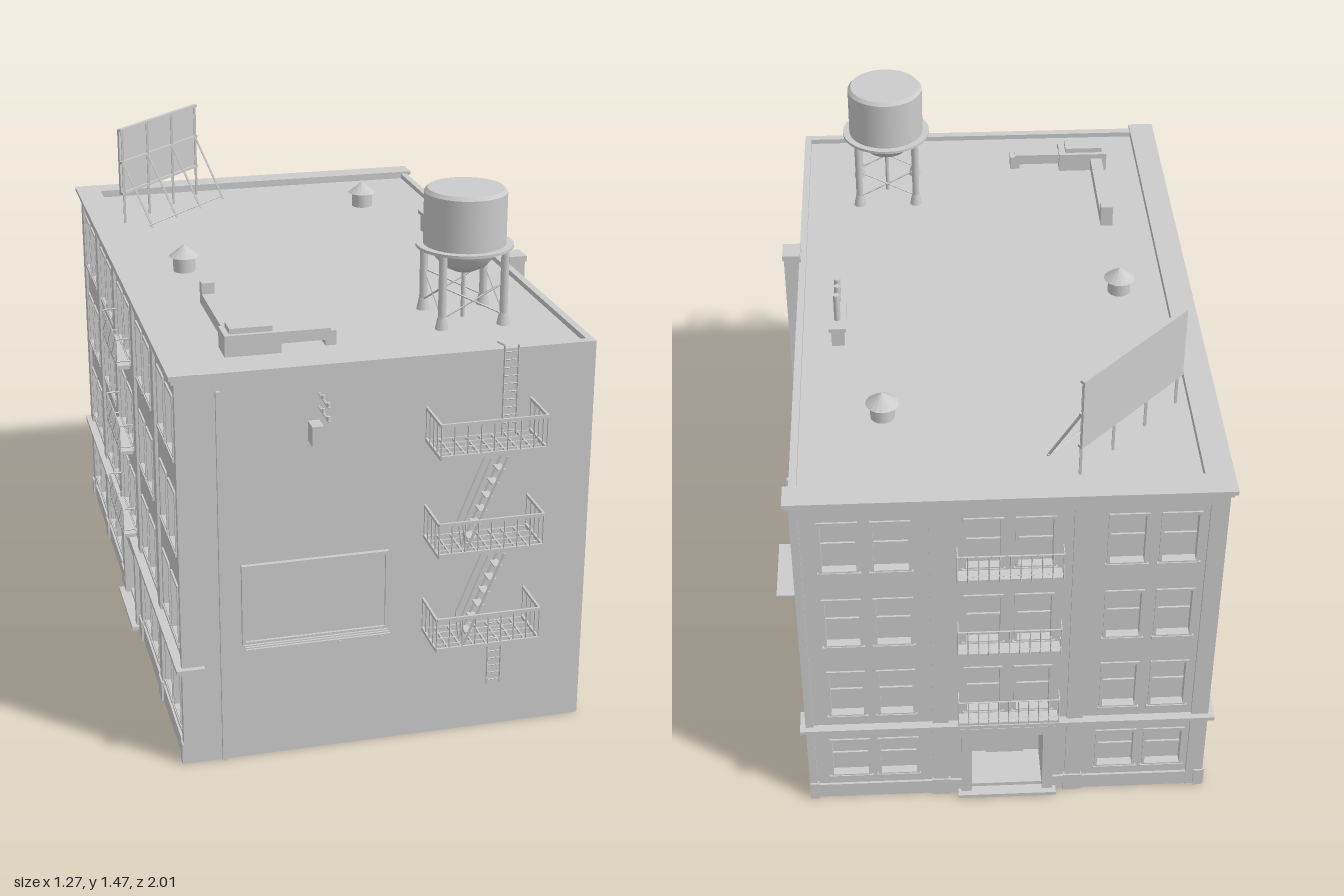
import * as THREE from 'three';

const grey = new THREE.MeshStandardMaterial({ color: 0xcccccc, side: THREE.DoubleSide });
const flat = new THREE.MeshStandardMaterial({ color: 0xcccccc, side: THREE.DoubleSide, flatShading: true });

function add(parent, name, geo, mat = grey) {
  const m = new THREE.Mesh(geo, mat);
  m.name = name;
  parent.add(m);
  return m;
}
function group(parent, name) {
  const g = new THREE.Group();
  g.name = name;
  parent.add(g);
  return g;
}
// Box given by its lower and upper limits on each axis
function box(parent, name, x0, x1, y0, y1, z0, z1) {
  const m = add(parent, name, new THREE.BoxGeometry(x1 - x0, y1 - y0, z1 - z0));
  m.position.set((x0 + x1) / 2, (y0 + y1) / 2, (z0 + z1) / 2);
  return m;
}
// Round or square bar between two points
function bar(parent, name, a, b, r, sides = 6, r2 = r) {
  const p = new THREE.Vector3(...a), q = new THREE.Vector3(...b), d = q.clone().sub(p);
  const m = add(parent, name, new THREE.CylinderGeometry(r2, r, d.length(), sides), sides < 8 ? flat : grey);
  m.position.copy(p).add(q).multiplyScalar(0.5);
  m.quaternion.setFromUnitVectors(new THREE.Vector3(0, 1, 0), d.normalize());
  return m;
}
function lathe(parent, name, pts, x, y, z, mat = grey) {
  const m = add(parent, name, new THREE.LatheGeometry(pts.map(p => new THREE.Vector2(...p)), 32), mat);
  m.position.set(x, y, z);
}
function rect(ShapeType, x0, x1, y0, y1) {
  const s = new ShapeType();
  s.moveTo(x0, y0); s.lineTo(x1, y0); s.lineTo(x1, y1); s.lineTo(x0, y1); s.closePath();
  return s;
}

// Framed, glazed window set in a wall whose face is z = 0
function windowUnit(parent, x0, x1, y0, y1) {
  const g = group(parent, 'window');
  const f = rect(THREE.Shape, x0 - 0.008, x1 + 0.008, y0 - 0.008, y1 + 0.008);
  f.holes.push(rect(THREE.Path, x0, x1, y0, y1));
  add(g, 'windowFrame', new THREE.ExtrudeGeometry(f, { depth: 0.005, bevelEnabled: false }));
  box(g, 'glass', x0, x1, y0, y1, -0.026, -0.02);
  box(g, 'windowRail', x0, x1, (y0 + y1) / 2 - 0.003, (y0 + y1) / 2 + 0.003, -0.02, -0.014);
  box(g, 'sill', x0 - 0.012, x1 + 0.012, y0 - 0.014, y0 - 0.004, 0, 0.008);
}

function balcony(parent, y) {
  const g = group(parent, 'balcony'), w = 0.138, d = 0.038;
  box(g, 'balconyFloor', -w, w, y, y + 0.008, 0, d);
  box(g, 'balconyFloorUnderside', -w + 0.01, w - 0.01, y - 0.008, y, 0, d - 0.01);
  for (const h of [0.022, 0.09]) {
    bar(g, 'balconyRail', [-w, y + h, d], [w, y + h, d], 0.0025, 4);
    for (const s of [-w, w]) bar(g, 'balconyRail', [s, y + h, 0], [s, y + h, d], 0.0025, 4);
  }
  for (let i = 0; i <= 10; i++) {
    const x = -w + i * w / 5;
    bar(g, 'baluster', [x, y, d], [x, y + 0.09, d], 0.0018, 4);
  }
}

// Decorated street wall: face near z = 0, centred on x = 0
function facade(parent, width, bays) {
  const g = group(parent, 'facade'), W = width / 2, pitch = width / bays, dw = 0.1;
  const wall = rect(THREE.Shape, -W, W, 0, 1.1), wins = [];
  for (let b = 0; b < bays; b++) {
    const c = (b - (bays - 1) / 2) * pitch, mid = b === (bays - 1) / 2;
    for (const s of [-0.068, 0.068]) {
      for (const y of [0.335, 0.605, 0.875]) wins.push([c + s - 0.045, c + s + 0.045, y, y + 0.16]);
      if (!mid) wins.push([c + s - 0.05, c + s + 0.05, 0.09, 0.225]);
    }
  }
  const face = group(g, 'facadeFace');
  face.position.z = -0.008;
  for (const w of wins) {
    wall.holes.push(rect(THREE.Path, ...w));
    windowUnit(face, ...w);
  }
  wall.holes.push(rect(THREE.Path, -dw, dw, 0.012, 0.235));
  const m = add(face, 'facadeWall', new THREE.ExtrudeGeometry(wall, { depth: 0.04, bevelEnabled: false }));
  m.position.z = -0.04;
  // Pilasters between the bays
  for (let b = 0; b <= bays; b++) {
    const c = -W + b * pitch;
    box(g, 'pilaster', Math.max(-W, c - 0.022), Math.min(W, c + 0.022), 0, 1.1, -0.012, 0);
    box(g, 'pilasterBase', Math.max(-W, c - 0.026), Math.min(W, c + 0.026), 0, 0.06, -0.012, 0.005);
  }
  box(g, 'frieze', -W, W, 1.065, 1.1, -0.012, -0.001);
  for (const s of [-1, 1]) {
    box(g, 'plinth', Math.min(s * 0.13, s * W), Math.max(s * 0.13, s * W), 0, 0.05, -0.012, -0.001);
    box(g, 'doorPier', s * 0.115 - 0.015, s * 0.115 + 0.015, 0, 0.25, -0.012, 0.008);
    box(g, 'porchSide', s * 0.102 - 0.002, s * 0.102 + 0.002, 0, 0.235, -0.13, -0.01);
  }
  // Recessed entrance
  box(g, 'porchCeiling', -dw, dw, 0.235, 0.239, -0.13, -0.01);
  box(g, 'porchBack', -dw, dw, 0, 0.235, -0.134, -0.13);
  box(g, 'porchFloor', -dw, dw, 0.012, 0.024, -0.13, -0.008);
  box(g, 'door', -0.055, 0.055, 0.024, 0.2, -0.13, -0.124);
  box(g, 'entranceStep', -0.14, 0.14, 0, 0.012, -0.02, 0.024);
  box(g, 'doorLintel', -0.135, 0.135, 0.24, 0.272, -0.012, 0.01);
  // String course and cornice
  box(g, 'stringCourse', -W - 0.015, W + 0.015, 0.28, 0.292, -0.06, 0.016);
  box(g, 'stringCourseLower', -W - 0.008, W + 0.008, 0.272, 0.28, -0.06, 0.008);
  box(g, 'corniceLower', -W - 0.008, W + 0.008, 1.098, 1.112, -0.06, 0.008);
  box(g, 'cornice', -W - 0.015, W + 0.015, 1.112, 1.124, -0.06, 0.016);
  for (const y of [0.32, 0.59, 0.86]) balcony(g, y);
  return g;
}

function ladder(parent, x, z, y0, y1) {
  const g = group(parent, 'ladder');
  for (const s of [-0.019, 0.019]) bar(g, 'ladderRail', [x + s, y0, z], [x + s, y1, z], 0.0025, 4);
  for (let y = y0 + 0.012; y < y1; y += 0.022) bar(g, 'rung', [x - 0.019, y, z], [x + 0.019, y, z], 0.0018, 4);
}

function fireEscape(parent) {
  const g = group(parent, 'fireEscape'), x0 = 0.062, x1 = 0.348, z0 = 0.868, z1 = 0.997;
  for (const y of [0.322, 0.599, 0.877]) {
    const p = group(g, 'landing');
    for (let i = 0; i <= 8; i++) {
      const x = x0 + (x1 - x0) * i / 8;
      box(p, 'floorSlat', x - 0.002, x + 0.002, y, y + 0.006, z0, z1);
      bar(p, 'baluster', [x, y, z1], [x, y + 0.098, z1], 0.002, 4);
    }
    for (let i = 0; i <= 4; i++) {
      const z = z0 + (z1 - z0) * i / 4;
      box(p, 'floorBar', x0, x1, y, y + 0.006, z - 0.002, z + 0.002);
      for (const x of [x0, x1]) bar(p, 'baluster', [x, y, z], [x, y + 0.098, z], 0.002, 4);
    }
    for (const h of [0.008, 0.096]) {
      box(p, 'landingRail', x0, x1, y + h - 0.005, y + h + 0.004, z1 - 0.003, z1 + 0.003);
      for (const x of [x0, x1]) box(p, 'landingRail', x - 0.003, x + 0.003, y + h - 0.005, y + h + 0.004, z0, z1);
    }
  }
  // Flights between the landings
  for (const y of [0.328, 0.605]) {
    const s = group(g, 'stair'), a = 0.14, b = 0.247, h = 0.26;
    for (const z of [0.945, 0.985]) {
      bar(s, 'stringer', [a, y, z], [b, y + h, z], 0.004, 4);
      bar(s, 'handrail', [a - 0.01, y + 0.08, z], [b - 0.045, y + h, z], 0.0025, 4);
      bar(s, 'handrailPost', [a, y, z], [a - 0.01, y + 0.08, z], 0.002, 4);
    }
    for (let i = 1; i < 7; i++) {
      const x = a + (b - a) * i / 7, t = y + h * i / 7;
      box(s, 'tread', x - 0.011, x + 0.011, t - 0.002, t + 0.002, 0.945, 0.985);
    }
  }
  ladder(g, 0.267, 0.877, 0.137, 0.345);
  ladder(g, 0.286, 0.877, 0.88, 1.13);
  bar(g, 'ladderHook', [0.267, 1.13, 0.877], [0.267, 1.12, 0.82], 0.0025, 4);
}

function waterTower(parent) {
  const g = group(parent, 'waterTower'), l = 0.087;
  g.position.set(0.258, 1.1, 0.55);
  add(g, 'tank', new THREE.CylinderGeometry(0.113, 0.113, 0.145, 32)).position.y = 0.285;
  add(g, 'tankLid', new THREE.CylinderGeometry(0.104, 0.113, 0.01, 32)).position.y = 0.3625;
  add(g, 'walkway', new THREE.CylinderGeometry(0.133, 0.133, 0.008, 32)).position.y = 0.21;
  lathe(g, 'tankBowl', [[0, 0.132], [0.03, 0.137], [0.06, 0.152], [0.082, 0.178], [0.094, 0.207]], 0, 0, 0);
  bar(g, 'centrePipe', [0, 0, 0], [0, 0.135, 0], 0.006, 10);
  const c = [[-l, -l], [l, -l], [l, l], [-l, l]];
  c.forEach(([x, z], i) => {
    const [u, w] = c[(i + 1) % 4];
    bar(g, 'leg', [x, 0, z], [x, 0.207, z], 0.011, 10);
    bar(g, 'legFoot', [x, 0, z], [x, 0.035, z], 0.019, 10, 0.012);
    bar(g, 'brace', [x, 0.03, z], [u, 0.12, w], 0.0025, 4);
    bar(g, 'brace', [x, 0.12, z], [u, 0.03, w], 0.0025, 4);
  });
}

// Hoarding turned to the corner; local +z is its supported rear
function hoarding(parent) {
  const g = group(parent, 'hoarding');
  g.position.set(-0.368, 1.1, -0.727);
  g.rotation.y = Math.PI / 4;
  box(g, 'hoardingPanel', -0.21, 0.21, 0.095, 0.308, -0.006, 0);
  for (const y of [0.1, 0.2, 0.304]) box(g, 'hoardingRail', -0.21, 0.21, y - 0.004, y + 0.004, 0, 0.008);
  for (const x of [-0.2, -0.067, 0.067, 0.2]) {
    bar(g, 'hoardingPost', [x, 0, 0.005], [x, 0.306, 0.005], 0.005, 4);
    bar(g, 'hoardingBrace', [x, 0, 0.115], [x, 0.2, 0.005], 0.004, 4);
  }
  bar(g, 'braceTie', [-0.21, 0.012, 0.107], [0.21, 0.012, 0.107], 0.002, 4);
}

function roofPlant(parent) {
  for (const [x, z] of [[0.283, -0.603], [-0.41, -0.045]]) {
    const g = group(parent, 'roofVent');
    add(g, 'ventStack', new THREE.CylinderGeometry(0.033, 0.033, 0.05, 16)).position.set(x, 1.125, z);
    add(g, 'ventCap', new THREE.ConeGeometry(0.045, 0.035, 16), flat).position.set(x, 1.1645, z);
  }
  const s = group(parent, 'chimneyStack');
  box(s, 'chimneyBlock', 0.387, 0.423, 1.1, 1.155, -0.28, -0.1);
  box(s, 'chimneyCap', 0.381, 0.429, 1.155, 1.167, -0.291, -0.093);
  for (const [z, y] of [[-0.12, 1.22], [-0.155, 1.22], [-0.243, 1.25]])
    bar(s, 'chimneyPipe', [0.405, 1.16, z], [0.405, y, z], 0.009, 12);
  const d = group(parent, 'airHandler');
  box(d, 'handlerBox', -0.44, -0.29, 1.1, 1.16, 0.632, 0.717);
  box(d, 'handlerLid', -0.425, -0.31, 1.16, 1.175, 0.645, 0.705);
  box(d, 'shortDuct', -0.29, -0.15, 1.118, 1.15, 0.652, 0.69);
  box(d, 'shortDuctEnd', -0.165, -0.135, 1.1, 1.143, 0.652, 0.69);
  box(d, 'longDuct', -0.425, -0.389, 1.112, 1.145, 0.288, 0.632);
  box(d, 'ductOutlet', -0.425, -0.389, 1.112, 1.177, 0.288, 0.32);
}

export function createModel() {
  const root = new THREE.Group();
  root.name = 'apartmentBuilding';
  // Plain walls and roof; the underside is open
  box(root, 'frontWall', -0.56, 0.525, 0, 1.117, 0.84, 0.865);
  box(root, 'sideWall', 0.505, 0.525, 0, 1.117, -0.95, 0.865);
  box(root, 'roof', -0.56, 0.51, 1.085, 1.102, -0.93, 0.85);
  const back = facade(root, 1.125, 3);
  back.position.set(-0.0375, 0, -0.965);
  back.rotation.y = Math.PI;
  const street = facade(root, 1.83, 5);
  street.position.set(-0.6, 0, -0.05);
  street.rotation.y = -Math.PI / 2;

  // Front wall fittings
  box(root, 'frontDownpipe', -0.496, -0.484, 0, 1.07, 0.865, 0.875);
  const b = group(root, 'wallPanel');
  const f = rect(THREE.Shape, -0.437, -0.037, 0.345, 0.577);
  f.holes.push(rect(THREE.Path, -0.428, -0.046, 0.354, 0.568));
  add(b, 'panelFrame', new THREE.ExtrudeGeometry(f, { depth: 0.012, bevelEnabled: false })).position.z = 0.865;
  box(b, 'panelBoard', -0.43, -0.044, 0.352, 0.57, 0.865, 0.87);
  for (const z of [0.883, 0.895, 0.907]) box(b, 'catwalkBar', -0.435, -0.04, 0.345, 0.349, z - 0.003, z + 0.003);
  for (const x of [-0.41, -0.295, -0.18, -0.065]) box(b, 'catwalkBracket', x - 0.004, x + 0.004, 0.341, 0.346, 0.865, 0.912);
  const u = group(root, 'cableBracket');
  box(u, 'junctionBox', -0.255, -0.225, 0.912, 0.967, 0.865, 0.912);
  for (const y of [1.003, 1.04]) {
    bar(u, 'bracketArm', [-0.226, y, 0.865], [-0.226, y, 0.978], 0.0035, 6);
    for (const z of [0.91, 0.965]) bar(u, 'insulator', [-0.226, y, z], [-0.226, y + 0.012, z], 0.005, 8);
  }
  fireEscape(root);

  // Side wall fittings
  box(root, 'sideDownpipe', 0.525, 0.535, 0, 1.07, -0.819, -0.807);
  box(root, 'sidePipe', 0.525, 0.535, 0, 0.2, 0.222, 0.234);
  box(root, 'sideLedge', 0.525, 0.537, 0.24, 0.268, 0.345, 0.775);
  box(root, 'sideDoor', 0.525, 0.528, 0, 0.192, -0.308, -0.207);
  box(root, 'sideCanopy', 0.525, 0.63, 0.243, 0.247, -0.387, -0.155);
  const duct = new THREE.Shape();
  duct.moveTo(0.52, 0.15);
  duct.lineTo(0.54, 0.15);
  duct.quadraticCurveTo(0.57, 0.152, 0.57, 0.2);
  duct.lineTo(0.57, 1.13); duct.lineTo(0.52, 1.13);
  const m = add(root, 'exhaustDuct', new THREE.ExtrudeGeometry(duct, { depth: 0.06, bevelEnabled: false, curveSegments: 8 }));
  m.position.z = 0.122;
  box(root, 'exhaustDuctCap', 0.522, 0.574, 1.125, 1.142, 0.118, 0.186);

  waterTower(root);
  hoarding(root);
  roofPlant(root);
  return root;
}
